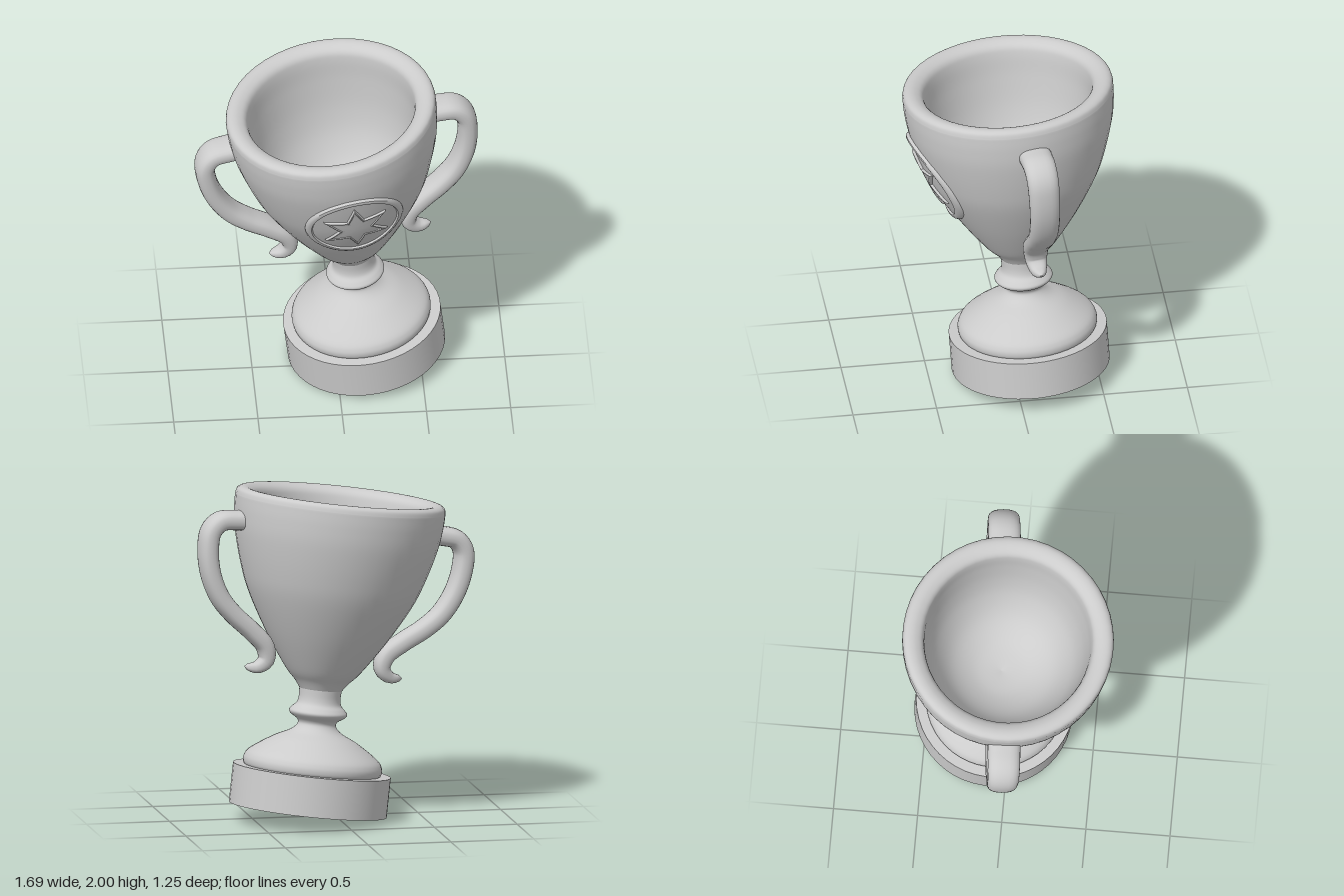
import * as THREE from 'three';
import { toCreasedNormals } from 'three/addons/utils/BufferGeometryUtils.js';

const material = new THREE.MeshStandardMaterial({ color: 0xcccccc });
const smooth = (pts, n) =>
  new THREE.SplineCurve(pts.map(([x, y]) => new THREE.Vector2(x, y))).getPoints(n);

function part(name, geometry) {
  const mesh = new THREE.Mesh(geometry, material);
  mesh.name = name;
  return mesh;
}

// Skin a stack of closed rings; at(i, j) returns the [x, y, z] of ring i, corner j
function loft(rings, sides, at) {
  const pos = [], index = [];
  for (let i = 0; i < rings; i++) {
    for (let j = 0; j < sides; j++) {
      pos.push(...at(i, j));
      if (i === rings - 1) continue;
      const k = (j + 1) % sides;
      const a = i * sides + j, b = i * sides + k;
      index.push(a, b, a + sides, b, b + sides, a + sides);
    }
  }
  const g = new THREE.BufferGeometry();
  g.setAttribute('position', new THREE.Float32BufferAttribute(pos, 3));
  g.setIndex(index);
  g.computeVertexNormals();
  return g;
}

// Outer wall of the bowl, as [radius, height]
const bowlWall = smooth([
  [0.127, 0.72], [0.16, 0.765], [0.228, 0.84], [0.364, 1.04], [0.488, 1.26],
  [0.551, 1.42], [0.604, 1.61], [0.623, 1.74], [0.627, 1.83],
], 48);

function bowlRadius(y) {
  const i = Math.max(1, bowlWall.findIndex((p) => p.y >= y));
  const a = bowlWall[i - 1], b = bowlWall[i];
  return THREE.MathUtils.mapLinear(y, a.y, b.y, a.x, b.x);
}

// Raised shape wrapped on the bowl front; profile runs from the edge inwards as [radius, relief]
function relief(profile, outline) {
  const sides = 72, centreX = 0.012, centreY = 1.354, squash = 0.935;
  const g = loft(profile.length, sides, (i, j) => {
    const angle = (j / sides) * Math.PI * 2;
    const r = profile[i][0] * outline(angle);
    const x = centreX + r * Math.cos(angle), y = centreY + r * Math.sin(angle) * squash;
    return [x, y, Math.sqrt(bowlRadius(y) ** 2 - x * x) + profile[i][1]];
  });
  return toCreasedNormals(g, 0.7);
}

// Six-pointed star outline with straight edges, one point upward
function starRadius(angle) {
  const outer = 0.22, inner = 0.105, step = Math.PI / 6;
  const turn = (angle + step) % (step * 2);
  const a = Math.min(turn, step * 2 - turn);
  return (outer * inner * Math.sin(step)) /
    (outer * Math.sin(a) + inner * Math.sin(step - a));
}

// Flattened S-shaped handle that tapers to a curled tip
function handleGeometry() {
  const curve = new THREE.CatmullRomCurve3([
    [0.54, 1.69], [0.64, 1.686], [0.73, 1.672], [0.783, 1.61], [0.789, 1.5],
    [0.757, 1.355], [0.685, 1.22], [0.59, 1.125], [0.468, 1.035], [0.375, 0.95],
    [0.36, 0.87], [0.41, 0.823], [0.49, 0.822],
  ].map(([x, y]) => new THREE.Vector3(x, y, 0)));
  const rings = 64, sides = 24;
  const round = (v) => Math.sign(v) * Math.abs(v) ** 0.8;
  return loft(rings, sides, (i, j) => {
    const t = i / (rings - 1);
    const p = curve.getPointAt(t), d = curve.getTangentAt(t);
    const tip = Math.sqrt(Math.max(0.0004, 1 - Math.max(0, (t - 0.76) / 0.24) ** 2));
    const angle = (j / sides) * Math.PI * 2;
    const a = 0.059 * (1 - 0.08 * t) * tip * round(Math.cos(angle));
    const b = 0.099 * (1 - 0.25 * t) * tip * round(Math.sin(angle));
    return [p.x - d.y * a, p.y + d.x * a, b];
  });
}

export function createModel() {
  const trophy = new THREE.Group();
  trophy.name = 'trophy';

  // Plinth
  const plinth = part('plinth', new THREE.CylinderGeometry(0.47, 0.47, 0.237, 48));
  plinth.position.y = 0.1185;
  trophy.add(plinth);

  // Domed foot, neck and collar
  const foot = smooth([
    [0.395, 0.225], [0.412, 0.25], [0.41, 0.29], [0.375, 0.335], [0.255, 0.415],
    [0.155, 0.465], [0.115, 0.505], [0.122, 0.535], [0.16, 0.56], [0.173, 0.582],
    [0.157, 0.606], [0.132, 0.632], [0.124, 0.67], [0.127, 0.725],
  ], 78);
  trophy.add(part('footAndStem', new THREE.LatheGeometry(foot, 48)));

  // Bowl with rounded rim, hollow inside and a rounded floor
  const rimAndInside = smooth([
    [0.627, 1.83], [0.618, 1.862], [0.59, 1.877], [0.55, 1.872], [0.512, 1.845],
    [0.497, 1.79], [0.485, 1.65], [0.455, 1.45], [0.4, 1.28], [0.3, 1.13],
    [0.16, 1.04], [0, 1.01],
  ], 66);
  trophy.add(part('bowl', new THREE.LatheGeometry([...bowlWall, ...rimAndInside.slice(1)], 48)));

  // Medallion with raised border and star
  const disc = [
    [0.296, -0.04], [0.296, 0.008], [0.289, 0.02], [0.276, 0.024], [0.263, 0.02], [0.255, 0.005],
  ];
  for (let i = 6; i >= 0; i--) disc.push([0.036 * i, 0.005]);
  trophy.add(part('medallion', relief(disc, () => 1)));
  const star = [
    [1, -0.003], [0.98, 0.016], [0.93, 0.022], [0.87, 0.022], [0.8, 0.016],
    [0.6, 0.016], [0.4, 0.016], [0.2, 0.016], [0, 0.016],
  ];
  trophy.add(part('star', relief(star, starRadius)));

  // Pair of handles, set slightly behind the middle
  const handle = handleGeometry();
  for (const [name, turn] of [['leftHandle', 0], ['rightHandle', Math.PI]]) {
    const mesh = part(name, handle);
    mesh.rotation.y = turn;
    mesh.position.z = -0.016;
    trophy.add(mesh);
  }

  // Jaunty lean with a slight turn
  const up = new THREE.Vector3(0, 1, 0);
  const lean = new THREE.Vector3(-0.12, 1, 0.058).normalize();
  trophy.quaternion.setFromUnitVectors(up, lean)
    .multiply(new THREE.Quaternion().setFromAxisAngle(up, THREE.MathUtils.degToRad(5)));
  trophy.position.set(0.186, 0.062, -0.108);

  const model = new THREE.Group();
  model.add(trophy);
  return model;
}
